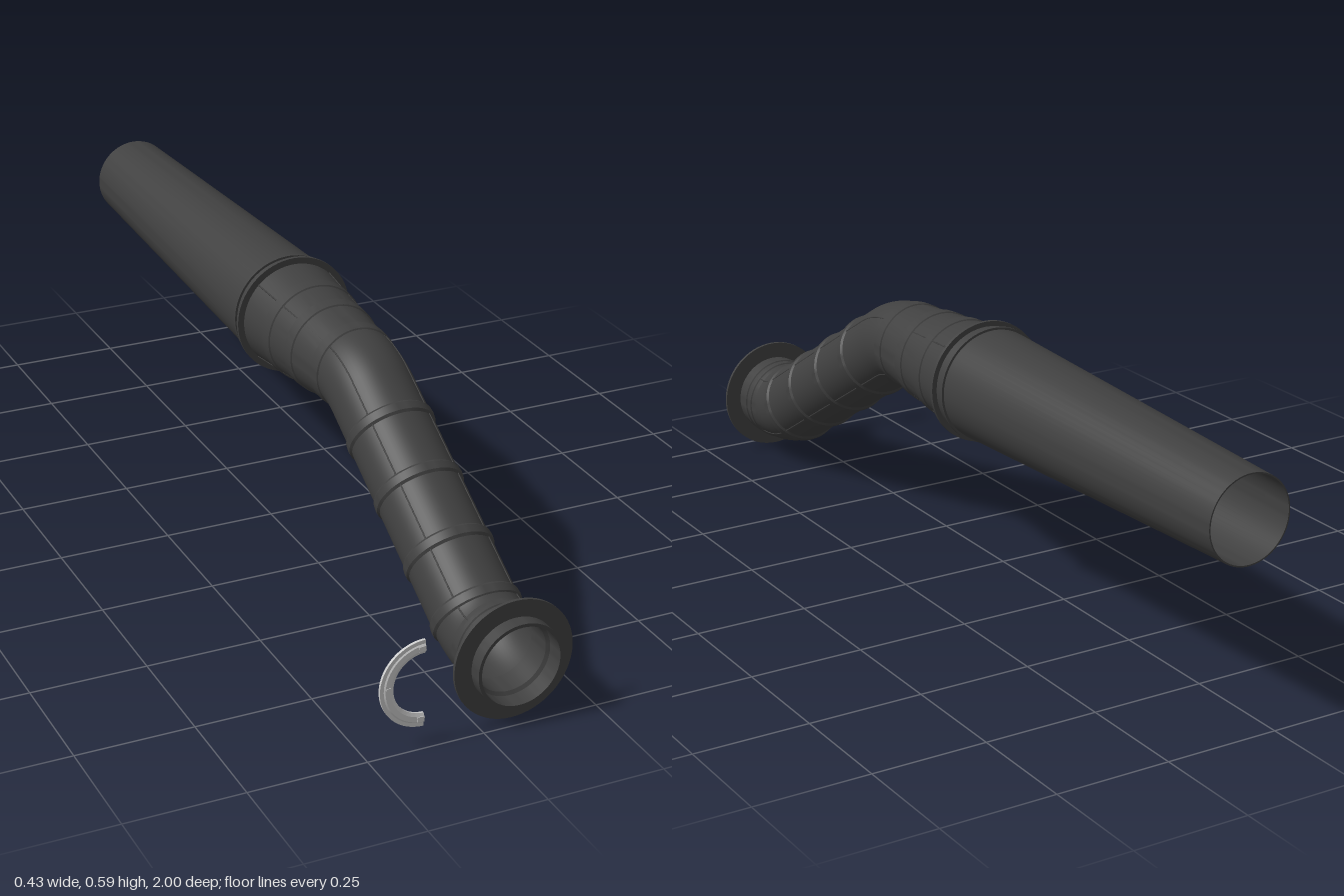
import * as THREE from 'three';
import { toCreasedNormals } from 'three/addons/utils/BufferGeometryUtils.js';

const CX = 0.077;            // duct axis offset
const FRONT_Y = 0.131, REAR_Y = 0.455;
const SLOPE = 0.59, TILT = Math.atan(SLOPE);
const SIDES = 64;

const dark = new THREE.MeshStandardMaterial({ color: 0x404040, side: THREE.DoubleSide });
const grey = new THREE.MeshStandardMaterial({ color: 0xcccccc, side: THREE.DoubleSide });

// Revolve [radius, z] pairs around the z axis
function revolve(profile, start = 0, length = Math.PI * 2, sides = SIDES) {
  const geo = new THREE.LatheGeometry(profile.map(([r, z]) => new THREE.Vector2(r, z)), sides, start, length);
  geo.rotateX(Math.PI / 2);
  return toCreasedNormals(geo, 0.4);
}

function addPart(parent, name, geo, mat, x = 0, y = 0, z = 0) {
  const mesh = new THREE.Mesh(geo, mat);
  mesh.name = name;
  mesh.position.set(x, y, z);
  parent.add(mesh);
  return mesh;
}

// Centre line: level, rounded bend, ramp, rounded bend, level
function ductPath() {
  const v = (z, y) => new THREE.Vector3(0, y, z);
  const rampY = z => FRONT_Y + (0.851 - z) * SLOPE;
  const path = new THREE.CurvePath();
  path.add(new THREE.LineCurve3(v(0.93, FRONT_Y), v(0.9, FRONT_Y)));
  path.add(new THREE.QuadraticBezierCurve3(v(0.9, FRONT_Y), v(0.851, FRONT_Y), v(0.81, rampY(0.81))));
  path.add(new THREE.LineCurve3(v(0.81, rampY(0.81)), v(0.35, rampY(0.35))));
  path.add(new THREE.QuadraticBezierCurve3(v(0.35, rampY(0.35)), v(0.304, REAR_Y), v(0.25, REAR_Y)));
  return { path, rampY };
}

export function createModel() {
  const model = new THREE.Group();
  const duct = new THREE.Group();
  duct.name = 'duct';
  duct.position.x = CX;
  model.add(duct);
  const { path, rampY } = ductPath();

  // Inclined pipe, outer skin and lining
  addPart(duct, 'rampPipe', new THREE.TubeGeometry(path, 90, 0.0915, SIDES), dark);
  addPart(duct, 'rampLining', new THREE.TubeGeometry(path, 90, 0.085, SIDES), dark);

  // Front collar with its wide flange and stepped mouth
  addPart(duct, 'frontCollar', revolve([
    [0.079, 0.9], [0.079, 0.955], [0.086, 0.96], [0.086, 1], [0.093, 1],
    [0.093, 0.971], [0.13, 0.971], [0.13, 0.964], [0.093, 0.964],
    [0.093, 0.94], [0.0955, 0.938], [0.0955, 0.928], [0.093, 0.926],
    [0.093, 0.916], [0.0955, 0.914], [0.0955, 0.904], [0.093, 0.902], [0.0915, 0.885],
  ]), dark, 0, FRONT_Y);

  // Joint bands on the ramp, with small light clips inside
  [0.815, 0.695, 0.56, 0.43].forEach((z, i) => {
    const joint = new THREE.Group();
    joint.name = 'joint' + (i + 1);
    joint.position.set(0, rampY(z), z);
    joint.rotation.x = TILT;
    duct.add(joint);
    addPart(joint, 'jointBand', revolve([
      [0.091, -0.015], [0.0955, -0.009], [0.0965, 0], [0.0955, 0.009], [0.091, 0.015],
    ]), dark);
    for (let k = 0; k < 4; k++) {
      const mid = k * Math.PI / 2 + (i % 2 ? 0 : Math.PI / 4);
      const clip = new THREE.CylinderGeometry(0.0835, 0.0835, 0.024, 8, 1, true, mid - 0.29, 0.58);
      clip.rotateX(Math.PI / 2);
      addPart(joint, 'innerClip', clip, grey);
    }
  });

  // Widening section with raised bands
  const coneR = z => 0.091 + (0.27 - z) / 0.32 * 0.028;
  const widening = [];
  for (const z of [0.255, 0.145, 0.05]) {
    const r = coneR(z);
    widening.push([r - 0.001, z + 0.016], [r + 0.002, z + 0.014], [r + 0.004, z - 0.014], [r + 0.0015, z - 0.016]);
  }
  addPart(duct, 'wideningSection', revolve([...widening, [0.12, -0.05]]), dark, 0, REAR_Y);
  addPart(duct, 'wideningLining', revolve([[0.085, 0.27], [0.115, -0.05]]), dark, 0, REAR_Y);

  // Paired flanges where the long tapered pipe begins
  for (const [z, r] of [[-0.052, 0.134], [-0.082, 0.128]])
    addPart(duct, 'middleFlange', revolve([
      [0.114, z + 0.004], [r, z + 0.004], [r, z - 0.004], [0.114, z - 0.004],
    ]), dark, 0, REAR_Y);

  // Long tapered pipe, open at the rear
  addPart(duct, 'taperedPipe', revolve([
    [0.123, -0.05], [0.123, -0.09], [0.0935, -1], [0.0905, -1], [0.115, -0.09], [0.115, -0.05],
  ]), dark, 0, REAR_Y);

  // Lengthwise seams at four diagonals
  for (const sx of [-1, 1]) for (const sy of [-1, 1]) {
    const d = Math.SQRT1_2;
    const points = [];
    for (let i = 0; i <= 40; i++) {
      const p = path.getPointAt(i / 40), t = path.getTangentAt(i / 40);
      points.push(new THREE.Vector3(sx * d * 0.0915, p.y - sy * d * 0.0915 * t.z, p.z + sy * d * 0.0915 * t.y));
    }
    points.push(new THREE.Vector3(sx * d * 0.12, REAR_Y + sy * d * 0.12, -0.05));
    addPart(duct, 'lengthwiseSeam', new THREE.TubeGeometry(new THREE.CatmullRomCurve3(points), 80, 0.0018, 5), dark);
  }

  // Separate half ring beside the mouth
  const half = new THREE.Group();
  half.name = 'halfRing';
  half.position.set(-0.12, FRONT_Y, 0.975);
  model.add(half);
  addPart(half, 'halfRingBody', revolve([
    [0.066, -0.004], [0.066, 0.001], [0.073, 0.004], [0.084, 0.004], [0.087, 0.002],
    [0.095, 0.002], [0.095, -0.004], [0.066, -0.004],
  ], Math.PI, Math.PI, 40), grey);
  for (const a of [Math.PI * 0.53, Math.PI, Math.PI * 1.47]) {
    const tab = addPart(half, 'halfRingTab', new THREE.BoxGeometry(0.011, 0.015, 0.003), grey,
      Math.cos(a) * 0.078, Math.sin(a) * 0.078, 0.004);
    tab.rotation.z = a;
  }
  return model;
}
